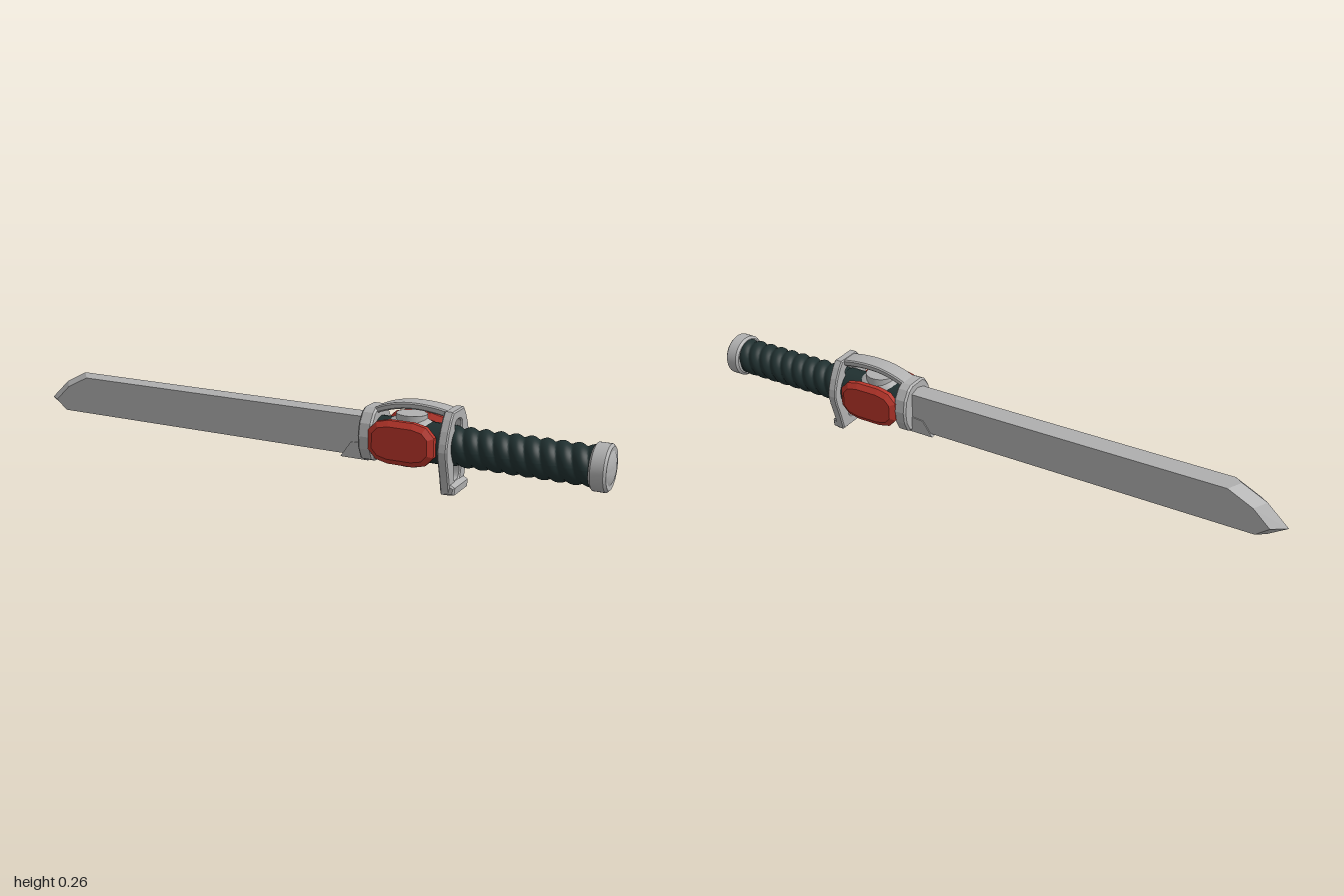
import * as THREE from 'three';
import { toCreasedNormals } from 'three/addons/utils/BufferGeometryUtils.js';

const steel = new THREE.MeshStandardMaterial({ name: 'steel', color: 0xb0b0b0 });
const red = new THREE.MeshStandardMaterial({ name: 'red', color: 0xb8352a });
const wrap = new THREE.MeshStandardMaterial({ name: 'dark wrap', color: 0x203030 });

const AXIS = 0.14; // height of the grip axis

const toShape = (pts) => new THREE.Shape(pts.map(([x, y]) => new THREE.Vector2(x, y)));
const mirrored = (half) => [...half, ...half.map(([x, y]) => [-x, y]).reverse()];

// Extrudes a shape to the full depth given, bevels included, centred on z = 0
function slab(shape, depth, bevel, inset = bevel) {
  const g = new THREE.ExtrudeGeometry(shape, {
    depth: depth - 2 * bevel, bevelEnabled: bevel > 0, bevelThickness: bevel,
    bevelSize: inset, bevelOffset: -inset, bevelSegments: 1, curveSegments: 10,
  });
  return g.translate(0, 0, -depth / 2 + bevel);
}

// Two flat sides joined by bevels to a sharp rim
function bladeGeometry() {
  const rim = [[0.26, 0.21], [-0.85, 0.21], [-0.93, 0.17], [-1, 0.105], [-0.94, 0.065], [0.26, 0.065]];
  const face = [[0.26, 0.2], [-0.82, 0.2], [-0.9, 0.16], [-0.955, 0.108], [-0.915, 0.075], [0.26, 0.075]];
  const pos = [];
  for (const s of [1, -1]) {
    const F = face.map(([x, y]) => [x, y, s * 0.034]);
    const R = rim.map(([x, y]) => [x, y, 0]);
    const tri = (a, b, c) => pos.push(...a, ...(s > 0 ? b : c), ...(s > 0 ? c : b));
    for (let i = 0; i < 6; i++) {
      const j = (i + 1) % 6;
      if (i > 0 && i < 5) tri(F[0], F[i], F[j]);
      tri(F[i], R[i], R[j]);
      tri(F[i], R[j], F[j]);
    }
  }
  const g = new THREE.BufferGeometry();
  g.setAttribute('position', new THREE.Float32BufferAttribute(pos, 3));
  g.computeVertexNormals();
  return g;
}

// Cylinder whose radius follows a two-start helix of rounded cords
function gripGeometry(x0, x1) {
  const g = new THREE.CylinderGeometry(1, 1, x1 - x0, 48, 110, true);
  g.rotateZ(-Math.PI / 2).translate((x0 + x1) / 2, 0, 0);
  const p = g.attributes.position;
  for (let i = 0; i < p.count; i++) {
    const x = p.getX(i), y = p.getY(i), z = p.getZ(i);
    const phase = (Math.PI * x) / 0.046 - Math.atan2(z, y);
    const r = 0.052 + 0.009 * Math.abs(Math.sin(phase));
    p.setXYZ(i, x, y * r, z * r);
  }
  g.computeVertexNormals();
  return g;
}

export function createModel() {
  const model = new THREE.Group();
  model.name = 'sword';
  const add = (name, geo, mat, x = 0, y = 0, z = 0) => {
    const m = new THREE.Mesh(geo, mat);
    m.name = name;
    m.position.set(x, y, z);
    model.add(m);
    return m;
  };

  // Blade and the raised plate at its root
  add('blade', bladeGeometry(), steel);
  const root = toShape([[0.165, 0.065], [0.26, 0.065], [0.26, 0.12], [0.2, 0.115]]);
  add('bladeRoot', slab(root, 0.076, 0), steel);

  // Collar around the blade root
  const collar = toShape(mirrored([
    [0.03, 0.065], [0.055, 0.075], [0.073, 0.11], [0.078, 0.15], [0.07, 0.19], [0.05, 0.22], [0.03, 0.232],
  ]));
  add('collar', slab(collar, 0.045, 0.006).rotateY(Math.PI / 2), steel, 0.263);

  // Guard plate with a slot, and its bottom lip
  const guard = toShape(mirrored([
    [0.055, 0.002], [0.07, 0.06], [0.086, 0.11], [0.092, 0.14], [0.088, 0.165],
    [0.076, 0.2], [0.058, 0.232], [0.042, 0.252],
  ]));
  const slot = new THREE.Path();
  slot.moveTo(-0.026, 0.07);
  slot.quadraticCurveTo(-0.024, 0.036, -0.008, 0.035);
  slot.lineTo(0.008, 0.035);
  slot.quadraticCurveTo(0.024, 0.036, 0.026, 0.07);
  slot.lineTo(0.026, 0.21);
  slot.quadraticCurveTo(0.02, 0.222, 0, 0.222);
  slot.quadraticCurveTo(-0.02, 0.222, -0.026, 0.21);
  slot.closePath();
  guard.holes.push(slot);
  add('guard', slab(guard, 0.03, 0.004).rotateY(Math.PI / 2), steel, 0.52);
  const lip = toShape([[0.506, 0.006], [0.515, 0], [0.548, 0.003], [0.55, 0.026], [0.535, 0.034], [0.51, 0.034]]);
  add('guardLip', slab(lip, 0.114, 0.005), steel);

  // Arched strap from collar to guard
  const arch = (pts) => new THREE.CatmullRomCurve3(pts.map(([x, y]) => new THREE.Vector3(x, y, 0)))
    .getPoints(16).map((v) => [v.x, v.y]);
  const outer = arch([[0.25, 0.22], [0.3, 0.243], [0.36, 0.258], [0.42, 0.261], [0.48, 0.256], [0.53, 0.246]]);
  const inner = arch([[0.53, 0.226], [0.48, 0.235], [0.42, 0.241], [0.36, 0.238], [0.3, 0.222], [0.25, 0.2]]);
  add('strap', toCreasedNormals(slab(toShape([...outer, ...inner]), 0.062, 0.004), 0.5), steel);

  // Dark core with a steel barrel and round studs above and below
  const core = new THREE.CylinderGeometry(0.062, 0.062, 0.24, 24).rotateZ(Math.PI / 2);
  add('core', core, wrap, 0.395, AXIS);
  add('barrel', new THREE.SphereGeometry(1, 32, 20).scale(0.1, 0.074, 0.058), steel, 0.385, 0.145);
  add('studs', new THREE.CylinderGeometry(0.042, 0.042, 0.157, 28).scale(1.15, 1, 1), steel, 0.385, 0.1435);

  // Red gems on both sides
  const gem = toShape([
    [-0.106, -0.03], [-0.08, -0.058], [-0.04, -0.067], [0.04, -0.067], [0.08, -0.058], [0.106, -0.03],
    [0.106, 0.03], [0.08, 0.058], [0.04, 0.067], [-0.04, 0.067], [-0.08, 0.058], [-0.106, 0.03],
  ]);
  for (const s of [1, -1]) {
    add(s > 0 ? 'frontGem' : 'backGem', slab(gem, 0.04, 0.012, 0.017), red, 0.383, 0.145, s * 0.069);
  }

  // Wrapped grip
  add('grip', gripGeometry(0.5, 0.945), wrap, 0, AXIS);

  // Domed pommel
  const profile = [[0, 0], [0.062, 0], [0.07, 0.007], [0.07, 0.044], [0.063, 0.051], [0.05, 0.05],
    [0.04, 0.055], [0.022, 0.059], [0, 0.06]].map(([r, h]) => new THREE.Vector2(r, h));
  const pommel = toCreasedNormals(new THREE.LatheGeometry(profile, 40).rotateZ(-Math.PI / 2), 0.5);
  add('pommel', pommel, steel, 0.94, AXIS);

  return model;
}
